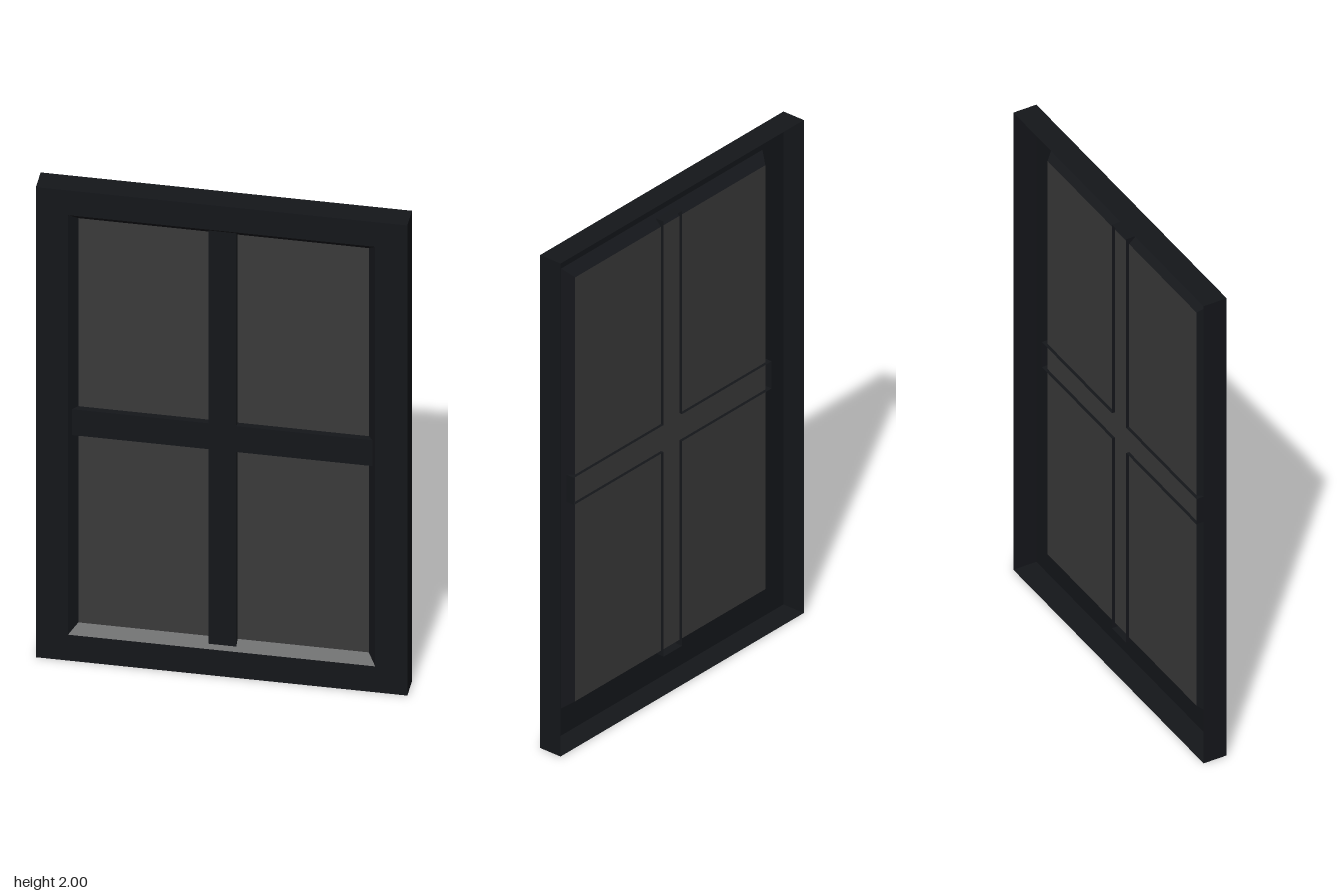
import * as THREE from 'three';

const frameMat = new THREE.MeshStandardMaterial({ color: 0x14161a, side: THREE.DoubleSide });
const glassMat = new THREE.MeshStandardMaterial({ color: 0x3a3a3a, side: THREE.DoubleSide });

// Corners of a rectangle, counter-clockwise seen from the front
const rect = (x, y0, y1) => [[-x, y0], [x, y0], [x, y1], [-x, y1]];
const toPoints = loop => loop.map(([x, y]) => new THREE.Vector2(x, y));

// Flat panel at depth z, with an optional hole
function panel(loop, z, hole) {
  const shape = new THREE.Shape(toPoints(loop));
  if (hole) shape.holes.push(new THREE.Path(toPoints(hole)));
  return new THREE.ShapeGeometry(shape).translate(0, 0, z);
}

// Open band of flat quads from a rear loop to a front loop (faces outward)
function band(rear, zRear, front, zFront) {
  const pos = [];
  rear.forEach((a, i) => {
    const j = (i + 1) % rear.length;
    const [A, B, C, D] = [[...a, zRear], [...rear[j], zRear], [...front[j], zFront], [...front[i], zFront]];
    pos.push(...A, ...B, ...C, ...A, ...C, ...D);
  });
  const geo = new THREE.BufferGeometry();
  geo.setAttribute('position', new THREE.Float32BufferAttribute(pos, 3));
  geo.computeVertexNormals();
  return geo;
}

export function createModel() {
  const group = new THREE.Group();
  group.name = 'window';
  const add = (name, geo, mat = frameMat) => {
    const mesh = new THREE.Mesh(geo, mat);
    mesh.name = name;
    group.add(mesh);
  };

  const depth = 0.047, glassZ = 0.008;
  const outer = rect(0.665, 0, 2);
  const opening = rect(0.55, 0.11, 1.895);
  const pane = rect(0.52, 0.14, 1.86);

  // Hollow frame: face plate and outer walls, open at the back
  add('frameFace', panel(outer, depth, opening));
  add('frameSides', band(outer, -depth, outer, depth));

  // Sloped reveal running inward to the glass (reversed to face the opening)
  add('frameReveal', band([...pane].reverse(), glassZ, [...opening].reverse(), depth));
  add('glass', panel(pane, glassZ), glassMat);

  // Cross-shaped glazing bars, open at the back, rims just behind the glass
  const w = 0.05, x = 0.54, y0 = 0.12, y1 = 1.885, h0 = 0.95, h1 = 1.06;
  const cross = [
    [-w, y0], [w, y0], [w, h0], [x, h0], [x, h1], [w, h1],
    [w, y1], [-w, y1], [-w, h1], [-x, h1], [-x, h0], [-w, h0],
  ];
  add('glazingBarFace', panel(cross, 0.031));
  add('glazingBarSides', band(cross, -0.004, cross, 0.031));

  return group;
}
